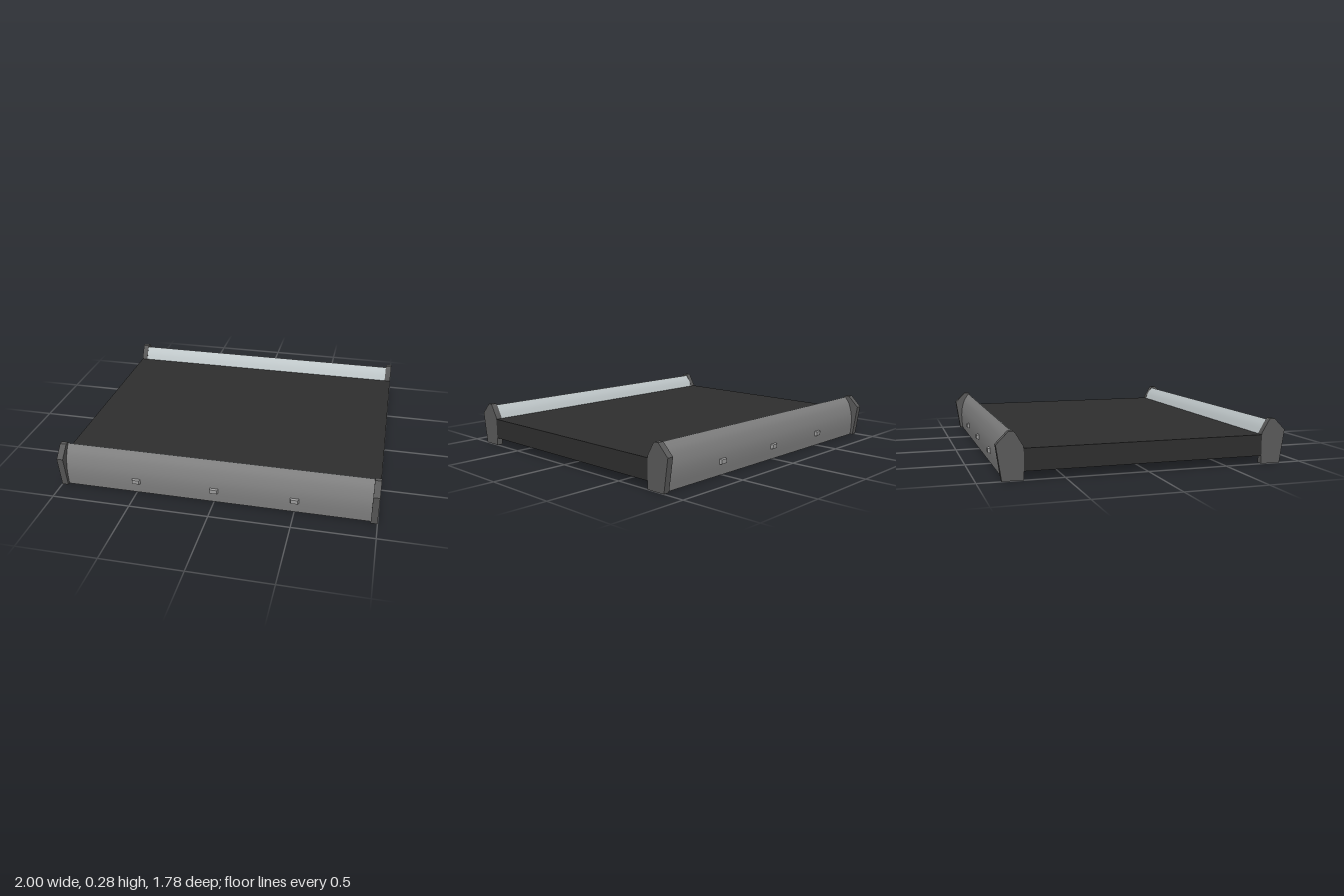
import * as THREE from 'three';
import { toCreasedNormals } from 'three/addons/utils/BufferGeometryUtils.js';

const mat = (name, color) => {
  const m = new THREE.MeshStandardMaterial({ color });
  m.name = name;
  return m;
};

// Extrudes an outline of [outward, up] points along x, centred on x
function extrudeAlongX(points, length, x = 0) {
  const shape = new THREE.Shape(points.map(([z, y]) => new THREE.Vector2(z, y)));
  const g = new THREE.ExtrudeGeometry(shape, { depth: length, bevelEnabled: false });
  g.translate(0, 0, -length / 2);
  g.rotateY(-Math.PI / 2);
  g.translate(x, 0, 0);
  return toCreasedNormals(g, 0.6);
}

// Thin curved sheet: a smooth curve through the points plus its inward offset
function sheetOutline(points, thickness, segments) {
  const curve = new THREE.SplineCurve(points.map(([z, y]) => new THREE.Vector2(z, y)));
  const outer = [], inner = [];
  for (let i = 0; i <= segments; i++) {
    const p = curve.getPoint(i / segments), t = curve.getTangent(i / segments);
    outer.push([p.x, p.y]);
    inner.unshift([p.x - t.y * thickness, Math.max(0, p.y + t.x * thickness)]);
  }
  return outer.concat(inner);
}

export function createModel() {
  const model = new THREE.Group();
  model.name = 'lowPlatform';
  const deckMat = mat('darkDeck', 0x2e2e2e);
  const railMat = mat('greyRail', 0x808080);
  const capMat = mat('darkGreyCap', 0x5a5a5a);
  const panelMat = mat('palePanel', 0xc0c8ca);
  const lampMat = mat('lampGrey', 0x9c9c9c);

  const add = (parent, name, geometry, material) => {
    const mesh = new THREE.Mesh(geometry, material);
    mesh.name = name;
    parent.add(mesh);
    return mesh;
  };

  // Flat deck slab
  add(model, 'deck', new THREE.BoxGeometry(2, 0.13, 1.47).translate(0, 0.115, 0), deckMat);

  const railPoints = [[0.842, 0], [0.848, 0.08], [0.843, 0.15], [0.822, 0.22], [0.79, 0.267]];
  const panelPoints = [[0.786, 0.267], [0.757, 0.228], [0.735, 0.18]];
  const capPoints = [[0.735, 0], [0.86, 0], [0.89, 0.205], [0.825, 0.27], [0.818, 0.277],
    [0.79, 0.277], [0.782, 0.27], [0.735, 0.19]];

  // Front rail, and the same one turned round for the back
  for (const [name, turn] of [['frontRail', 0], ['backRail', Math.PI]]) {
    const rail = new THREE.Group();
    rail.name = name;
    rail.rotation.y = turn;
    model.add(rail);

    // Curved outer cover and sloping inner panel
    add(rail, 'outerCover', extrudeAlongX(sheetOutline(railPoints, 0.01, 14), 1.92), railMat);
    add(rail, 'innerPanel', extrudeAlongX(sheetOutline(panelPoints, 0.008, 6), 1.92), panelMat);

    // End caps
    for (const side of [-1, 1]) {
      add(rail, 'endCap', extrudeAlongX(capPoints, 0.04, side * 0.98), capMat);
    }

    // Small tapered lamps on the outer cover
    for (const x of [-0.5, 0, 0.5]) {
      const g = new THREE.CylinderGeometry(Math.SQRT1_2 * 0.7, Math.SQRT1_2, 1, 4, 1).toNonIndexed();
      g.rotateY(Math.PI / 4);
      g.rotateX(Math.PI / 2);
      g.scale(0.06, 0.036, 0.022);
      g.computeVertexNormals();
      add(rail, 'lamp', g, lampMat).position.set(x, 0.084, 0.852);
    }
  }
  return model;
}
